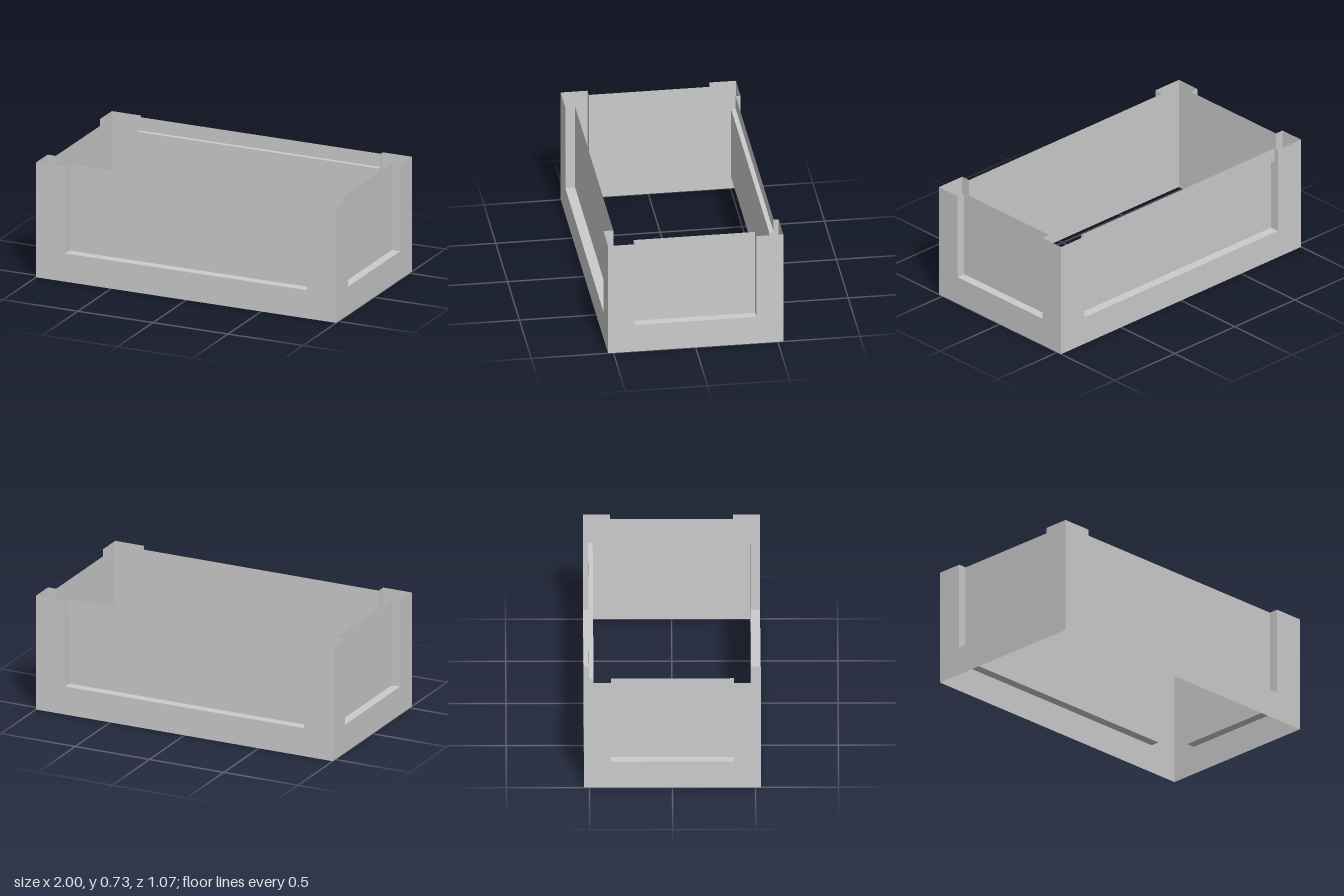
import * as THREE from 'three';

const HEIGHT = 0.73, SILL = 0.18, HALF_X = 1, HALF_Z = 0.533;
const material = new THREE.MeshStandardMaterial({ color: 0xcccccc, flatShading: true, side: THREE.DoubleSide });

function addMesh(parent, name, geometry) {
  const mesh = new THREE.Mesh(geometry, material);
  mesh.name = name;
  parent.add(mesh);
  return mesh;
}

// One thin wall facing +z: a U-shaped outer sheet with a pocket pressed inwards.
// profile lists [y, depth] up the pocket, from the sill edge to the top edge.
function createWall(name, half, pocketHalf, profile) {
  const wall = new THREE.Group();
  wall.name = name;

  // Outer sheet: two corner strips joined by the lower band
  const frame = new THREE.Shape([
    [-half, 0], [half, 0], [half, HEIGHT], [pocketHalf, HEIGHT],
    [pocketHalf, SILL], [-pocketHalf, SILL], [-pocketHalf, HEIGHT], [-half, HEIGHT],
  ].map(([x, y]) => new THREE.Vector2(x, y)));
  addMesh(wall, 'outerFrame', new THREE.ShapeGeometry(frame));

  // Sill and recessed panel: a plane bent along the profile
  const last = profile.length - 1;
  const panel = new THREE.PlaneGeometry(pocketHalf * 2, 1, 1, last);
  const pos = panel.attributes.position;
  for (let i = 0; i < pos.count; i++) {
    const [y, depth] = profile[last - Math.floor(i / 2)];
    pos.setY(i, y);
    pos.setZ(i, -depth);
  }
  const flatPanel = panel.toNonIndexed();
  flatPanel.computeVertexNormals();
  addMesh(wall, 'recessedPanel', flatPanel);

  // Pocket sides, cut to the same profile
  const side = new THREE.Shape([...profile, [HEIGHT, 0]].map(([y, depth]) => new THREE.Vector2(depth, y)));
  for (const sign of [-1, 1]) {
    const reveal = new THREE.ShapeGeometry(side).rotateY(Math.PI / 2);
    addMesh(wall, sign < 0 ? 'rightPocketSide' : 'leftPocketSide', reveal).position.x = sign * pocketHalf;
  }
  return wall;
}

export function createModel() {
  const model = new THREE.Group();
  model.name = 'openCrate';
  const plain = (depth) => [[SILL, 0], [SILL, depth], [HEIGHT, depth]];

  // Long walls; the back one has a shallower band along its top
  const front = createWall('frontWall', HALF_X, 0.805, plain(0.06));
  front.position.z = HALF_Z;
  const back = createWall('backWall', HALF_X, 0.805,
    [[SILL, 0], [SILL, 0.058], [0.645, 0.058], [0.645, 0.03], [HEIGHT, 0.03]]);
  back.rotation.y = Math.PI;
  back.position.z = -HALF_Z;
  model.add(front, back);

  // Short end walls
  for (const sign of [-1, 1]) {
    const end = createWall(sign < 0 ? 'rightWall' : 'leftWall', HALF_Z, 0.37, plain(0.055));
    end.rotation.y = sign * Math.PI / 2;
    end.position.x = sign * HALF_X;
    model.add(end);
  }
  return model;
}
